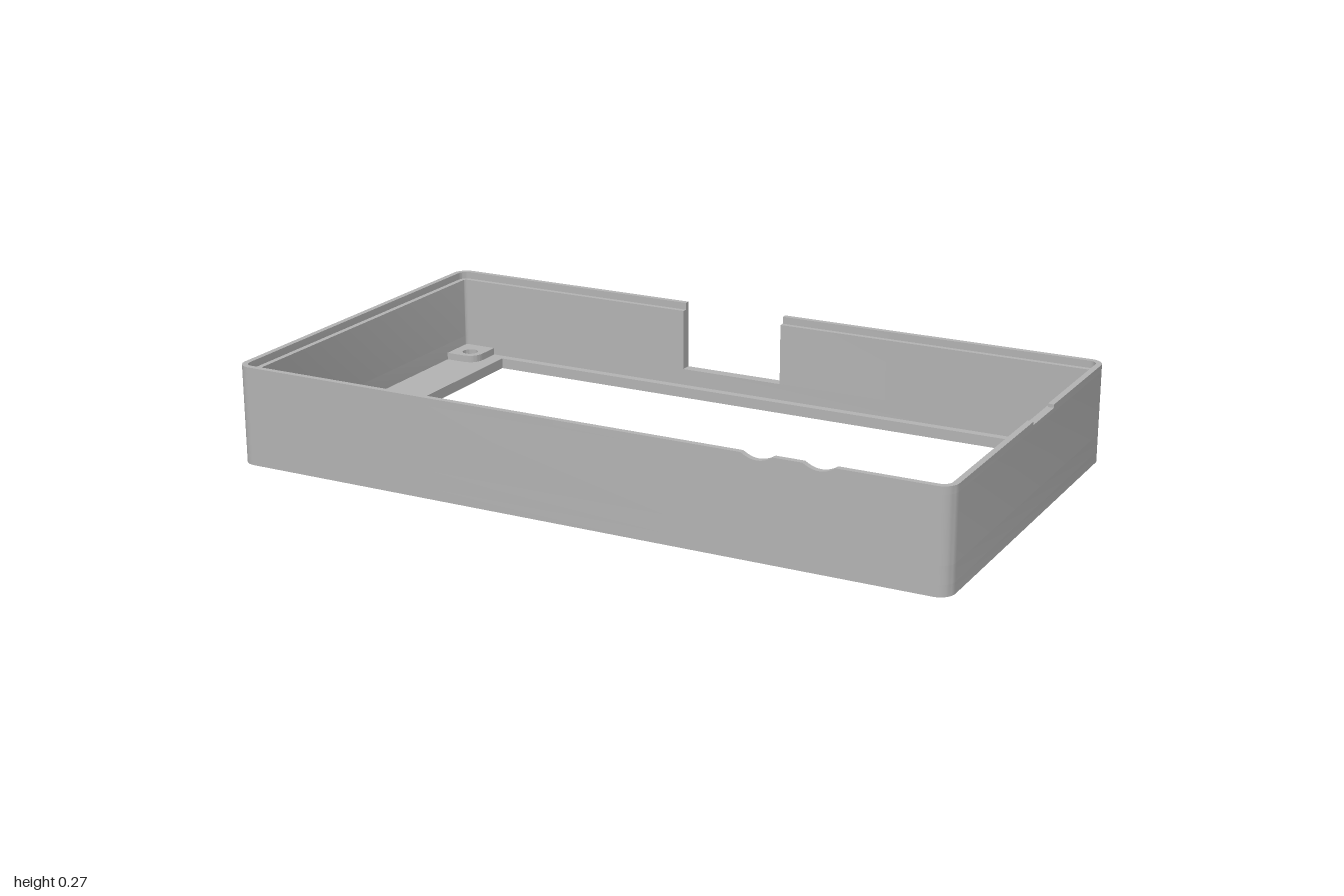
import * as THREE from 'three';
import { toCreasedNormals } from 'three/addons/utils/BufferGeometryUtils.js';

const W = 1, D = 0.547, H = 0.27, R = 0.04;     // half width, half depth, height, corner radius
const WALL = 0.031, LIP = 0.016;                // wall and lip thickness
const FLOOR = 0.03, SILL = 0.077, STEP = 0.25;  // heights of floor, cable notch and lip step
const GAP = [-0.235, 0.07];                     // cable notch in the back wall

// Corners in plan (shape y = -z), anticlockwise from front right: sign x, sign y, start angle
const CORNERS = [[1, -1, -Math.PI / 2], [1, 1, 0], [-1, 1, Math.PI / 2], [-1, -1, Math.PI]];

function cornerPoints(i, inset) {
  const [sx, sy, a0] = CORNERS[i];
  const r = Math.max(R - inset, 0.003), pts = [];
  for (let k = 0; k <= 8; k++) {
    const a = a0 + (k / 8) * Math.PI / 2;
    pts.push(new THREE.Vector2(
      sx * (W - inset - r) + Math.cos(a) * r,
      sy * (D - inset - r) + Math.sin(a) * r));
  }
  return pts;
}

// Closed rounded rectangle, set in from the outside
const loop = (inset) => [0, 1, 2, 3].flatMap((i) => cornerPoints(i, inset));

// Strip of wall running round the given corners between two end points on the outside
function strip(start, corners, end, thickness) {
  const side = (inset) => {
    const shift = ([x, y]) => new THREE.Vector2(
      Math.abs(x) === W ? x - Math.sign(x) * inset : x,
      Math.abs(y) === D ? y - Math.sign(y) * inset : y);
    return [shift(start), ...corners.flatMap((i) => cornerPoints(i, inset)), shift(end)];
  };
  return new THREE.Shape([...side(0), ...side(thickness).reverse()]);
}

const circle = (x, y, r) => new THREE.Path().absarc(x, y, r, 0, Math.PI * 2, true);

export function createModel() {
  const group = new THREE.Group();
  const grey = new THREE.MeshStandardMaterial({ color: 0xb3b3b3 });
  grey.name = 'grey plastic';
  grey.side = THREE.DoubleSide;

  const add = (name, geometry) => {
    const mesh = new THREE.Mesh(geometry, grey);
    mesh.name = name;
    group.add(mesh);
    return mesh;
  };
  // Raise a plan shape between two heights
  const slab = (name, shape, y0, y1) => {
    const g = new THREE.ExtrudeGeometry(shape, { depth: y1 - y0, bevelEnabled: false, curveSegments: 20 });
    g.rotateX(-Math.PI / 2).translate(0, y0, 0);
    return add(name, toCreasedNormals(g, 0.5));
  };

  // Floor frame with a large window and four screw holes
  const floor = new THREE.Shape(loop(0));
  floor.holes.push(new THREE.Path([[-0.83, -0.508], [-0.83, 0.492], [0.848, 0.492], [0.848, -0.508]]
    .map(([x, y]) => new THREE.Vector2(x, y))));
  for (const [sx, sy] of CORNERS) floor.holes.push(circle(sx * 0.916, sy * 0.452, 0.04));
  slab('floor', floor, 0, FLOOR);

  // Screw bosses with countersunk holes
  for (const [sx, sy] of CORNERS) {
    const x0 = sx * (W - WALL), y0 = sy * (D - WALL), x1 = sx * 0.873, y1 = sy * 0.41, r = 0.045;
    const boss = new THREE.Shape();
    boss.moveTo(x0, y0);
    boss.lineTo(x1, y0);
    boss.lineTo(x1, y1 + sy * r);
    boss.quadraticCurveTo(x1, y1, x1 + sx * r, y1);
    boss.lineTo(x0, y1);
    boss.closePath();
    boss.holes.push(circle(sx * 0.916, sy * 0.452, 0.023));
    slab('screwBoss', boss, FLOOR, FLOOR + 0.02);
    add('countersink', new THREE.CylinderGeometry(0.023, 0.04, FLOOR, 24, 1, true))
      .position.set(sx * 0.916, FLOOR / 2, -sy * 0.452);
  }

  // Walls: closed below the cable notch, open at the back above it
  const lower = new THREE.Shape(loop(0));
  lower.holes.push(new THREE.Path(loop(WALL)));
  slab('lowerWall', lower, FLOOR, SILL);
  slab('upperWall', strip([GAP[0], D], [2, 3, 0, 1], [GAP[1], D], WALL), SILL, STEP);

  // Thin outer lip, in runs between the notches
  const side = [-0.015, 0.135], front = [0.4, 0.8];
  slab('lip', strip([GAP[0], D], [2, 3], [front[0], -D], LIP), STEP, H);
  slab('lip', strip([front[1], -D], [0], [W, side[0]], LIP), STEP, H);
  slab('lip', strip([W, side[1]], [1], [GAP[1], D], LIP), STEP, H);

  // Shallow rectangular notch on the right
  slab('sideNotch', strip([W, side[0]], [], [W, side[1]], LIP), STEP, 0.261);

  // Two curved button notches at the front
  const scoop = new THREE.Shape();
  scoop.moveTo(front[0], STEP);
  scoop.lineTo(front[1], STEP);
  scoop.lineTo(front[1], H);
  for (const x of [0.67, 0.51]) {
    scoop.lineTo(x + 0.042, H);
    scoop.quadraticCurveTo(x, H - 0.028, x - 0.042, H);
  }
  scoop.lineTo(front[0], H);
  scoop.closePath();
  add('buttonNotches', toCreasedNormals(
    new THREE.ExtrudeGeometry(scoop, { depth: LIP, bevelEnabled: false }).translate(0, 0, D - LIP), 0.5));

  return group;
}
